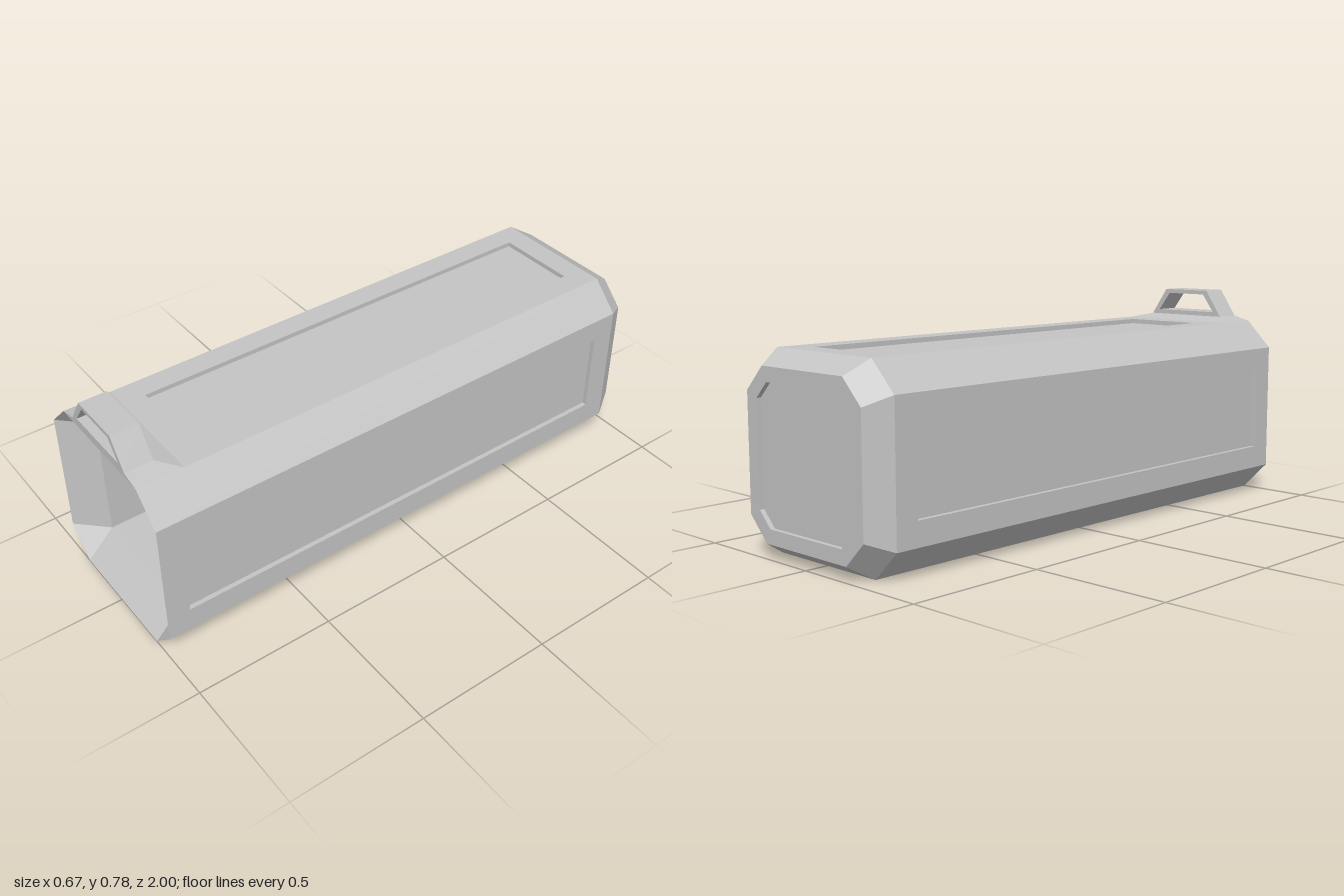
import * as THREE from 'three';

const MID = 0.3333;              // height of the body's axis
const W = 0.3333, F = 0.2333;    // half width of the octagon, half length of its flats
const FRONT = 1, SHOULDER = -0.917, BACK = -1;
const DEPTH = 0.0167;            // recess depth of every panel

// Octagon at depth z, counter-clockwise seen from +z
function octagon(h, f, z) {
  return [[h, -f], [h, f], [f, h], [-f, h], [-h, f], [-h, -f], [-f, -h], [f, -h]]
    .map(([x, y]) => new THREE.Vector3(x, y + MID, z));
}

// Flat-faced skin from loop to loop, the last loop closed by a cap.
// Loops run counter-clockwise as seen from outside.
function loft(loops) {
  const pos = [];
  const tri = (a, b, c) => {
    if (new THREE.Triangle(a, b, c).getArea() > 1e-8) {
      for (const p of [a, b, c]) pos.push(p.x, p.y, p.z);
    }
  };
  for (let k = 0; k + 1 < loops.length; k++) {
    const a = loops[k], b = loops[k + 1], n = a.length;
    for (let i = 0; i < n; i++) {
      const j = (i + 1) % n;
      tri(a[i], a[j], b[j]);
      tri(a[i], b[j], b[i]);
    }
  }
  const cap = loops[loops.length - 1];
  for (let i = 1; i + 1 < cap.length; i++) tri(cap[0], cap[i], cap[i + 1]);
  const g = new THREE.BufferGeometry();
  g.setAttribute('position', new THREE.Float32BufferAttribute(pos, 3));
  g.computeVertexNormals();
  return g;
}

export function createModel() {
  const model = new THREE.Group();
  model.name = 'hollowCase';
  const grey = new THREE.MeshStandardMaterial({ color: 0xc4c4c4 });
  grey.name = 'plain grey';
  const add = (name, geometry) => {
    const mesh = new THREE.Mesh(geometry, grey);
    mesh.name = name;
    model.add(mesh);
    return mesh;
  };

  // Four long walls, each with a recessed panel; at(s, z, d): s across, d outward
  const walls = [
    ['leftWall', (s, z, d) => [d, MID + s, z], false, 0.917],
    ['rightWall', (s, z, d) => [-d, MID + s, z], true, 0.917],
    ['topWall', (s, z, d) => [s, MID + d, z], true, 0.75],
    ['bottomWall', (s, z, d) => [s, MID - d, z], false, 0.917],
  ];
  for (const [name, at, flip, panelFront] of walls) {
    const rect = (s, z0, z1, d) => {
      const loop = [[-s, z1], [-s, z0], [s, z0], [s, z1]]
        .map(([u, z]) => new THREE.Vector3(...at(u, z, d)));
      return flip ? loop.reverse() : loop;
    };
    // The top and bottom run across x, so their winding is opposite to the sides
    const across = name === 'topWall' || name === 'bottomWall';
    const loops = [
      rect(F, SHOULDER, FRONT, W),
      rect(0.15, -0.833, panelFront, W),
      rect(0.15, -0.833, panelFront, W - DEPTH),
    ];
    // Check the winding against the outward direction and turn it where needed
    const [a, b, c] = loops[0];
    const normal = new THREE.Triangle(a, b, c).getNormal(new THREE.Vector3());
    const out = new THREE.Vector3(...at(0, 0, 1)).sub(new THREE.Vector3(...at(0, 0, 0)));
    if (normal.dot(out) < 0) loops.forEach((l) => l.reverse());
    add(name, loft(loops)).userData.across = across;
  }

  // Bevelled long edges between the walls
  const rim = octagon(W, F, FRONT), shoulder = octagon(W, F, SHOULDER);
  for (let i = 1; i < 8; i += 2) {
    const j = (i + 1) % 8;
    add('bevelEdge', loft([[rim[i], shoulder[i], shoulder[j], rim[j]]]));
  }

  // Tapered rear end with its recessed octagonal panel
  add('rearEnd', loft([
    shoulder,
    octagon(0.2833, 0.2, BACK),
    octagon(0.2333, 0.179, BACK),
    octagon(0.2333, 0.179, BACK + DEPTH),
  ].map((l) => l.reverse())));

  // Open mouth narrowing to a square-sided cavity
  add('cavity', loft([
    octagon(W, F, FRONT),
    octagon(F, F, 0.9),
    octagon(F, F, -0.9),
  ]));

  // Sloped foot under the handle
  const foot = (x, z, y) => [[-x, FRONT], [x, FRONT], [x, z], [-x, z]]
    .map(([u, w]) => new THREE.Vector3(u, y, w));
  add('handleFoot', loft([foot(F, 0.833, 0.6667), foot(0.167, 0.9, 0.6833)]));

  // Trapezoid carrying handle
  const outline = (pts) => pts.map(([x, y]) => new THREE.Vector2(x, y));
  const shape = new THREE.Shape(outline(
    [[-0.167, 0.6833], [0.167, 0.6833], [0.1, 0.7833], [-0.1, 0.7833]]));
  shape.holes.push(new THREE.Path(outline(
    [[-0.133, 0.7], [-0.083, 0.768], [0.083, 0.768], [0.133, 0.7]])));
  const handle = new THREE.ExtrudeGeometry(shape, { depth: 0.1, bevelEnabled: false });
  add('handle', handle.translate(0, 0, 0.9));

  return model;
}
